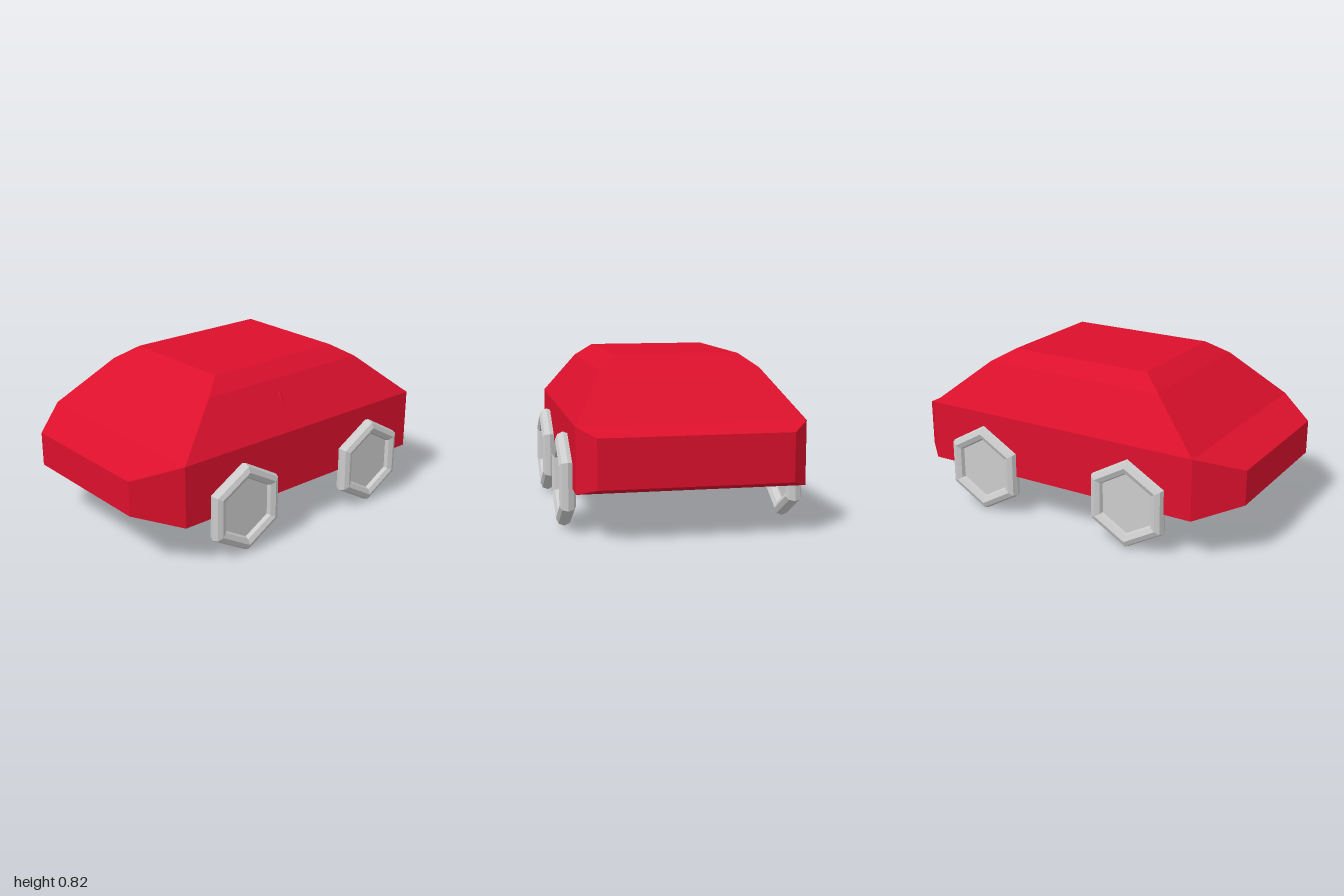
import * as THREE from 'three';

const paint = new THREE.MeshStandardMaterial({ color: 0xdc102c, flatShading: true });
const grey = new THREE.MeshStandardMaterial({ color: 0xcccccc, flatShading: true, side: THREE.DoubleSide });

// Shell: a closed lengthwise profile of [half width, y, z], spanned across x and closed by side panels
function bodyGeometry() {
  const profile = [
    [0.544, 0.23, 0.722],  // 0 sill front
    [0.38, 0.295, 0.921],  // 1 nose bottom
    [0.38, 0.47, 0.921],   // 2 nose top
    [0.544, 0.54, 0.722],  // 3 belt front
    [0.392, 0.765, 0.457], // 4 windscreen break
    [0.31, 0.83, 0.35],    // 5 roof front
    [0.31, 0.83, -0.424],  // 6 roof back
    [0.392, 0.765, -0.53], // 7 rear window break
    [0.544, 0.54, -0.795], // 8 belt back
    [0.459, 0.5, -0.891],  // 9 tail top
    [0.459, 0.265, -0.891], // 10 tail bottom
    [0.544, 0.23, -0.795], // 11 sill back
  ];
  const n = profile.length;
  const panels = [[0, 1, 2, 3], [0, 3, 8, 11], [3, 4, 7, 8], [4, 5, 6, 7], [8, 9, 10, 11]];
  const point = (i, side) => [side * profile[i][0], profile[i][1], profile[i][2]];
  const positions = [];
  const quad = (a, b, c, d) => positions.push(...a, ...b, ...c, ...a, ...c, ...d);

  for (let i = 0; i < n; i++) {
    const j = (i + 1) % n;
    quad(point(i, -1), point(i, 1), point(j, 1), point(j, -1));
  }
  for (const [a, b, c, d] of panels) {
    // the first and last corners run toward the tail on the +x side
    quad(point(d, 1), point(c, 1), point(b, 1), point(a, 1));
    quad(point(a, -1), point(b, -1), point(c, -1), point(d, -1));
  }
  const geometry = new THREE.BufferGeometry();
  geometry.setAttribute('position', new THREE.Float32BufferAttribute(positions, 3));
  geometry.computeVertexNormals();
  return geometry;
}

// Six-sided wheel with its axle along x
function createWheel(name, side) {
  const wheel = new THREE.Group();
  wheel.name = name;
  const tyre = new THREE.Mesh(
    new THREE.TorusGeometry(0.192, 0.039, 8, 6).rotateZ(Math.PI / 6).rotateY(Math.PI / 2), grey);
  tyre.name = 'tyre';
  const disc = new THREE.Mesh(
    new THREE.CircleGeometry(0.185, 6).rotateZ(Math.PI / 6).rotateY(side * Math.PI / 2), grey);
  disc.name = 'wheelDisc';
  disc.position.x = side * 0.008;
  wheel.add(tyre, disc);
  return wheel;
}

export function createModel() {
  const model = new THREE.Group();
  model.name = 'car';

  const body = new THREE.Mesh(bodyGeometry(), paint);
  body.name = 'body';
  body.position.x = -0.017;
  model.add(body);

  // Wheels
  for (const side of [1, -1]) {
    for (const [end, z] of [['front', 0.381], ['rear', -0.473]]) {
      const wheel = createWheel(end + (side > 0 ? 'Left' : 'Right') + 'Wheel', side);
      wheel.position.set(side > 0 ? 0.548 : -0.556, 0.24, z);
      model.add(wheel);
    }
  }

  // Small sliver lying on the left side window
  const fin = new THREE.Mesh(new THREE.OctahedronGeometry(1), paint);
  fin.name = 'sideFin';
  fin.scale.set(0.008, 0.06, 0.014);
  fin.position.set(0.424, 0.69, 0.044);
  fin.rotation.z = Math.atan2(0.152, 0.225);
  model.add(fin);

  // The car stands turned on the ground
  model.rotation.y = -0.36;
  const root = new THREE.Group();
  root.name = 'turnedCar';
  root.add(model);
  return root;
}
